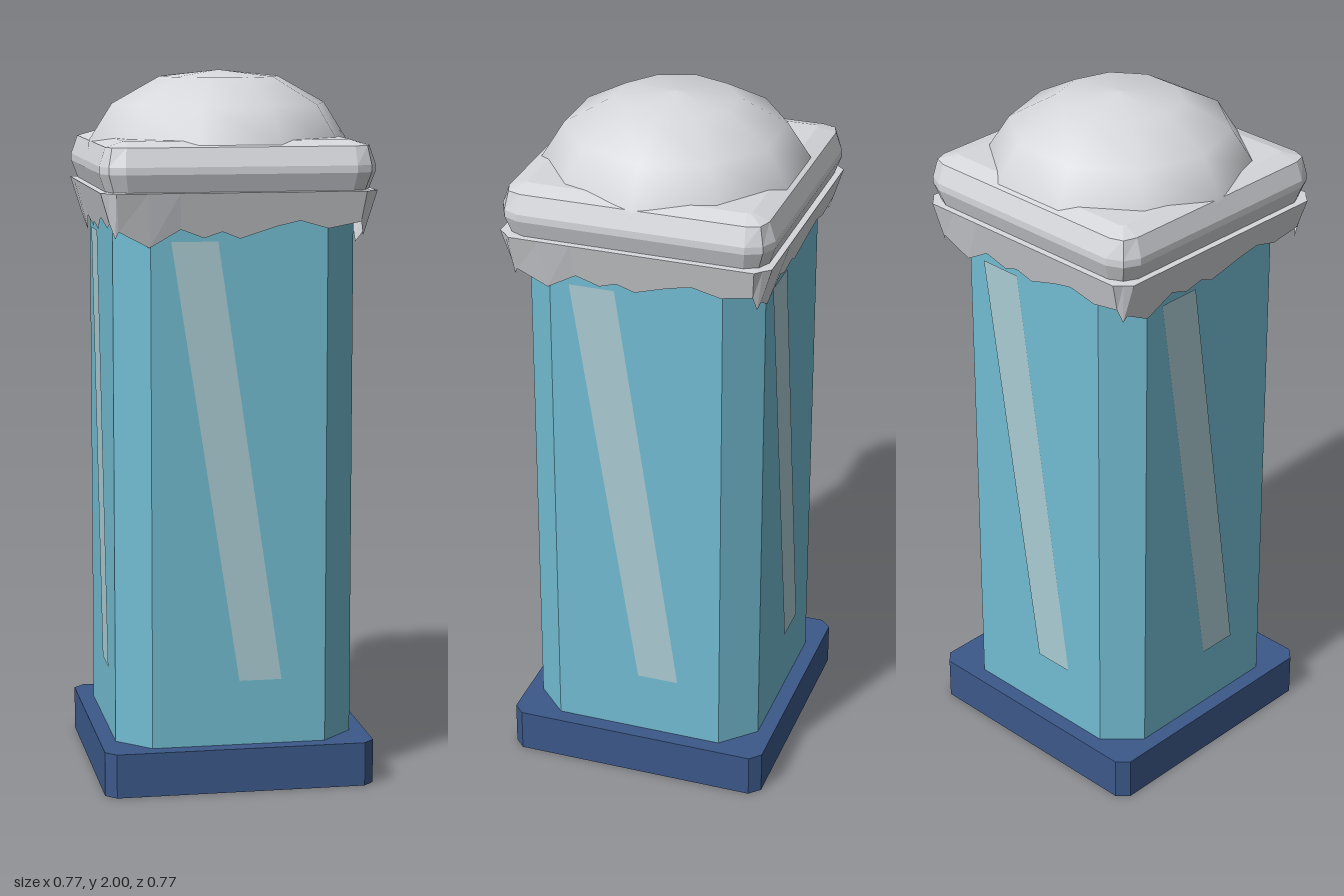
import * as THREE from 'three';

const mat = (name, color, side = THREE.FrontSide) => {
  const m = new THREE.MeshStandardMaterial({ color, side });
  m.name = name;
  return m;
};

// Repeats the front edge of an outline on all four sides.
function fourSides(edge) {
  const ring = [];
  let pts = edge;
  for (let k = 0; k < 4; k++) {
    ring.push(...pts);
    pts = pts.map(([x, y, z]) => [z, y, -x]);
  }
  return ring;
}

// Square outline with cut corners; mid > 0 adds a point in each corner.
function square(y, h, cut, mid = 0) {
  const edge = [[cut - h, y, h], [h - cut, y, h]];
  if (mid) edge.push([h - mid, y, h - mid]);
  return fourSides(edge);
}

// Flat-faceted skin through rings listed from bottom to top.
function loft(rings, capped = true) {
  const pos = [];
  const n = rings[0].length;
  const tri = (a, b, c) => pos.push(...a, ...b, ...c);
  for (let r = 0; r < rings.length - 1; r++) {
    for (let i = 0; i < n; i++) {
      const j = (i + 1) % n;
      const a = rings[r][i], b = rings[r][j], c = rings[r + 1][j], d = rings[r + 1][i];
      tri(a, b, c);
      tri(a, c, d);
    }
  }
  if (capped) {
    const low = rings[0], top = rings[rings.length - 1];
    for (let i = 0; i < n; i++) {
      const j = (i + 1) % n;
      tri(low[j], low[i], [0, low[0][1], 0]);
      tri(top[i], top[j], [0, top[0][1], 0]);
    }
  }
  const g = new THREE.BufferGeometry();
  g.setAttribute('position', new THREE.Float32BufferAttribute(pos, 3));
  g.computeVertexNormals();
  return g;
}

export function createModel() {
  const group = new THREE.Group();
  const snow = mat('snow', 0xd6d8dc);
  const snowSheet = mat('snow sheet', 0xd6d8dc, THREE.DoubleSide);
  const glass = mat('blue glass', 0x72bcd2);
  const shine = mat('pale reflection', 0xabccd4, THREE.DoubleSide);
  const navy = mat('navy base', 0x3c598a);
  const add = (name, geometry, material) => {
    const mesh = new THREE.Mesh(geometry, material);
    mesh.name = name;
    group.add(mesh);
    return mesh;
  };

  // Plinth and eight-sided column
  add('base', loft([square(0, 0.383, 0.03), square(0.125, 0.383, 0.03)]), navy);
  add('column', loft([square(0.125, 0.338, 0.092), square(1.69, 0.338, 0.092)]), glass);

  // Slanted reflection on each main face
  const streak = new THREE.Shape([[0, 0.31], [0.12, 0.31], [-0.06, 1.545], [-0.19, 1.545]]
    .map(([x, y]) => new THREE.Vector2(x, y)));
  const streakGeometry = new THREE.ShapeGeometry(streak).translate(0, 0, 0.341);
  for (let k = 0; k < 4; k++) {
    add('reflection' + (k + 1), streakGeometry, shine).rotation.y = k * Math.PI / 2;
  }

  // Drooping snow fringe, leaning inwards to a wavy hem
  const hem = [[-0.335, 1.575], [-0.25, 1.53], [-0.165, 1.58], [-0.1, 1.555], [-0.05, 1.572],
    [0, 1.552], [0.1, 1.585], [0.165, 1.6], [0.245, 1.577], [0.335, 1.595]];
  const hemEdge = hem.map(([x, y]) => [x, y, Math.max(0.343, 0.383 - (1.68 - y) * 0.3)]);
  const topEdge = hem.map(([x]) => [x * 1.03, 1.68, 0.383]);
  const innerEdge = hem.map(([x]) => [x * 0.85, 1.685, 0.3]);
  hemEdge.push([0.343, 1.555, 0.343]);
  topEdge.push([0.363, 1.68, 0.363]);
  innerEdge.push([0.295, 1.685, 0.295]);
  add('snowFringe', loft([hemEdge, topEdge, innerEdge].map(fourSides), false), snowSheet);

  // Bevelled snow slab
  add('snowSlab', loft([
    square(1.68, 0.365, 0.055, 0.018),
    square(1.73, 0.383, 0.065, 0.021),
    square(1.75, 0.383, 0.065, 0.021),
    square(1.802, 0.365, 0.05, 0.013),
    square(1.817, 0.315, 0.012, 0.004),
  ]), snow);

  // Ten-sided snow dome with smooth shading
  const profile = [[0.375, 1.75], [0.37, 1.805], [0.305, 1.907], [0.17, 1.982], [0, 2]]
    .map(([r, y]) => new THREE.Vector2(r, y));
  add('snowDome', new THREE.LatheGeometry(profile, 10, Math.PI / 2), snow);

  return group;
}
